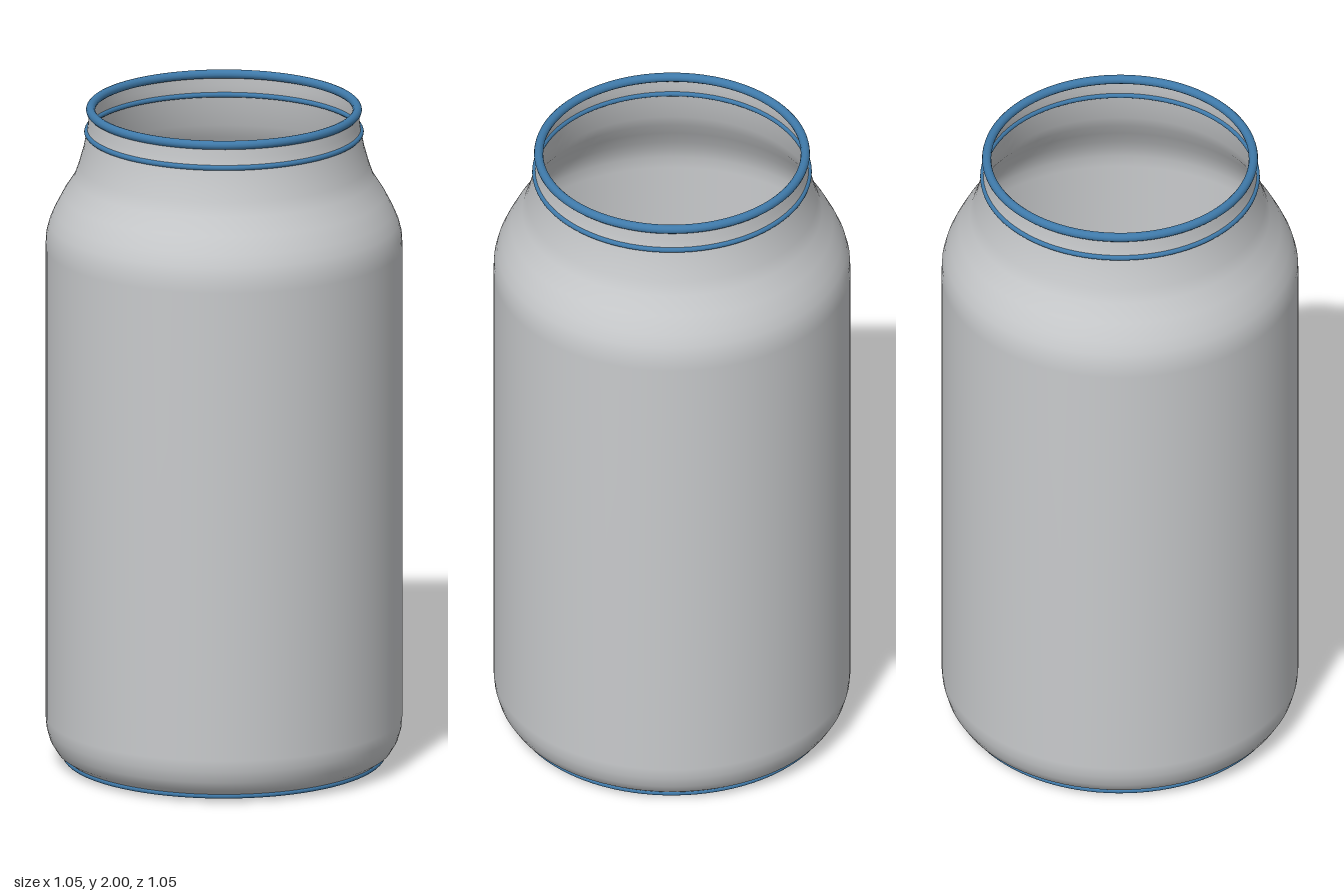
import * as THREE from 'three';

export function createModel() {
  const jar = new THREE.Group();
  jar.name = 'jar';
  const glass = new THREE.MeshStandardMaterial({ color: 0xc8cacc, side: THREE.DoubleSide });
  glass.name = 'pale grey glass';
  const blue = new THREE.MeshStandardMaterial({ color: 0x3f7aaa });
  blue.name = 'blue trim';

  const add = (name, geometry, material, y = 0) => {
    const mesh = new THREE.Mesh(geometry, material);
    mesh.name = name;
    mesh.position.y = y;
    jar.add(mesh);
    return mesh;
  };

  // Thin wall: rounded heel, straight side, sloping shoulder and neck
  const profile = [
    [0.42, 0.0], [0.468, 0.02], [0.495, 0.04], [0.513, 0.07], [0.523, 0.105], [0.526, 0.14],
    [0.526, 1.57], [0.524, 1.61], [0.515, 1.645], [0.5, 1.68], [0.474, 1.73], [0.442, 1.78],
    [0.428, 1.82], [0.414, 1.87], [0.404, 1.92], [0.4, 1.95], [0.398, 1.985],
  ].map(([r, y]) => new THREE.Vector2(r, y));
  add('wall', new THREE.LatheGeometry(profile, 96), glass);

  // Flat base, seen from inside and below
  add('base', new THREE.CircleGeometry(0.42, 96).rotateX(-Math.PI / 2), glass);

  // Trim rings: [name, radius, tube, height]
  for (const [name, radius, tube, y] of [
    ['rim', 0.393, 0.0135, 1.9865],
    ['neckRing', 0.404, 0.008, 1.92],
    ['baseRing', 0.468, 0.008, 0.018],
  ]) {
    add(name, new THREE.TorusGeometry(radius, tube, 12, 96).rotateX(Math.PI / 2), blue, y);
  }
  return jar;
}
